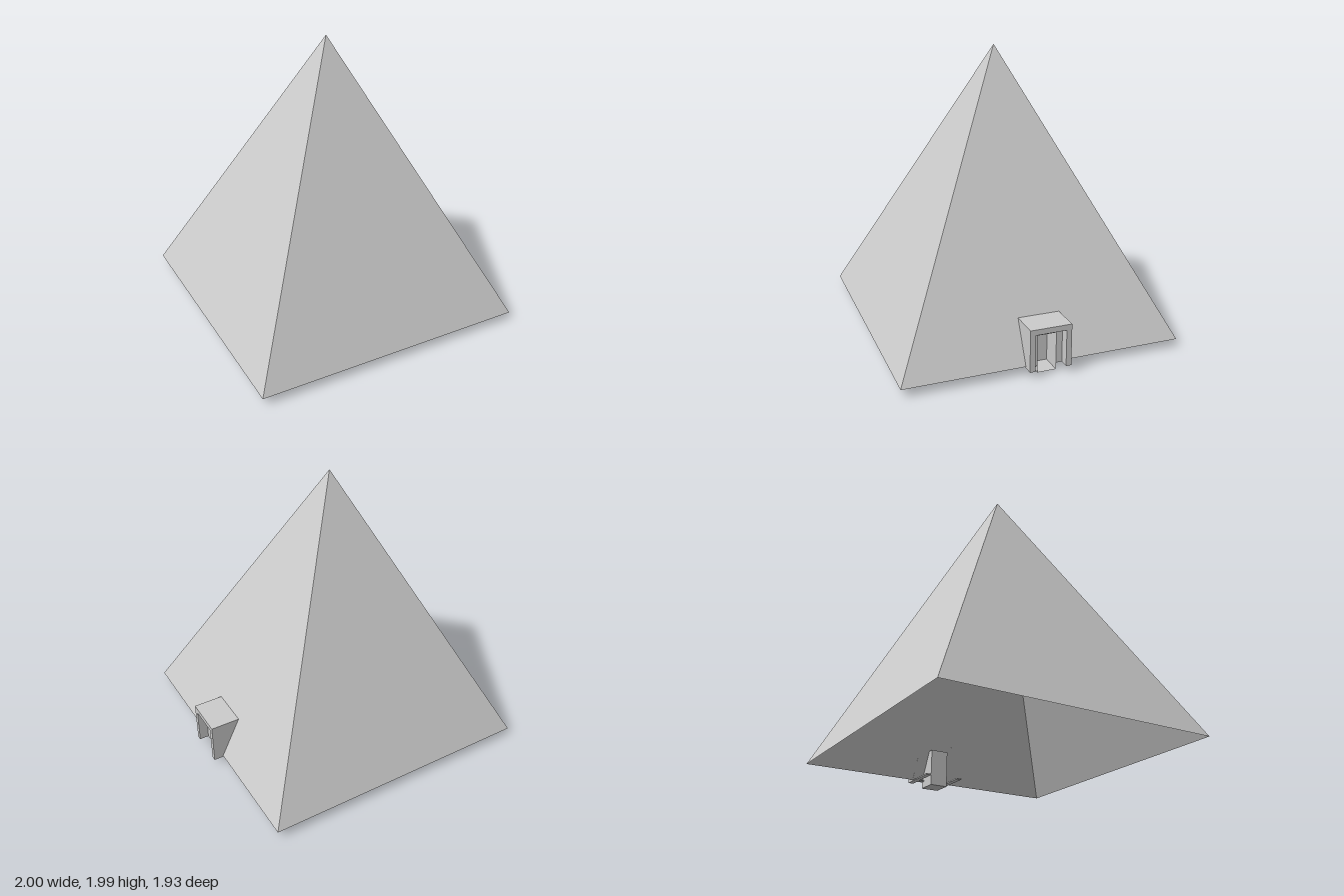
import * as THREE from 'three';

const HALF = 0.967, BASE = 0.055, APEX = 1.99, CX = -0.033;
// distance of a sloping side from the pyramid's axis at height y
const reach = (y) => HALF * (APEX - y) / (APEX - BASE);
const slopeX = (y) => CX + reach(y);

export function createModel() {
  const group = new THREE.Group();
  const mat = new THREE.MeshStandardMaterial({ color: 0xcccccc, flatShading: true, side: THREE.DoubleSide });
  const add = (name, geo, parent = group) => {
    const mesh = new THREE.Mesh(geo, mat);
    mesh.name = name;
    parent.add(mesh);
    return mesh;
  };
  const shapeOf = (pts) => new THREE.Shape(pts.map(([a, b]) => new THREE.Vector2(a, b)));

  // Door dimensions: half width and top of each step, innermost first
  const door = { w: 0.065, top: 0.26, back: 0.79, front: 0.935 };
  const mid = { w: 0.107, top: 0.297, front: 0.935, tail: 0.9 };
  const outer = { w: 0.144, top: 0.335, front: 1.0, tail: 0.71 };

  // Four sloping sides, open underneath; the +x side is notched for the doorway
  const pyramid = new THREE.Group();
  pyramid.name = 'pyramid';
  group.add(pyramid);
  for (let i = 0; i < 4; i++) {
    const notch = i === 0
      ? [[-door.w, BASE], [-door.w, door.top], [door.w, door.top], [door.w, BASE]] : [];
    const geo = new THREE.ShapeGeometry(shapeOf([[-HALF, BASE], ...notch, [HALF, BASE], [0, APEX]]));
    const p = geo.attributes.position;
    for (let k = 0; k < p.count; k++) {
      const u = p.getX(k), y = p.getY(k);
      p.setXYZ(k, reach(y), y, -u);
    }
    geo.computeVertexNormals();
    const side = add('slopingSide' + (i + 1), geo, pyramid);
    side.rotation.y = i * Math.PI / 2;
    side.position.x = CX;
  }

  // Extrudes an x-y profile between two z positions
  const slab = (name, pts, z0, z1, parent) => {
    const geo = new THREE.ExtrudeGeometry(shapeOf(pts), { depth: z1 - z0, bevelEnabled: false });
    geo.translate(0, 0, z0);
    add(name, geo, parent);
  };

  // Stepped door surround: two jambs and a lintel, trimmed to the slope behind
  const surround = (name, step, inner) => {
    const g = new THREE.Group();
    g.name = name;
    group.add(g);
    const { front, top, w, tail } = step, low = 0.046;
    const jamb = [[front, low], [front, top], [slopeX(top), top],
      [slopeX(BASE) - 0.001, BASE], [tail, BASE], [tail, low]];
    slab('leftJamb', jamb, inner.w, w, g);
    slab('rightJamb', jamb, -w, -inner.w, g);
    slab('lintel', [[front, inner.top], [front, top], [slopeX(top), top],
      [slopeX(inner.top), inner.top]], -inner.w, inner.w, g);
  };
  surround('outerSurround', outer, mid);
  surround('innerSurround', mid, door);

  // Doorway recess: thin walls open to the front, sunk to the ground
  const recess = new THREE.Group();
  recess.name = 'doorRecess';
  group.add(recess);
  const depth = door.front - door.back, cx = (door.front + door.back) / 2;
  const panel = (name, w, h, pos, rx, ry) => {
    const m = add(name, new THREE.PlaneGeometry(w, h), recess);
    m.position.set(...pos);
    m.rotation.set(rx, ry, 0);
  };
  panel('doorPanel', 2 * door.w, door.top, [door.back, door.top / 2, 0], 0, Math.PI / 2);
  panel('recessFloor', depth, 2 * door.w, [cx, 0, 0], -Math.PI / 2, 0);
  panel('recessCeiling', depth, 2 * door.w, [cx, door.top, 0], Math.PI / 2, 0);
  for (const s of [1, -1]) {
    panel('recessWall', depth, door.top, [cx, door.top / 2, s * door.w], 0, s > 0 ? Math.PI : 0);
  }
  return group;
}
